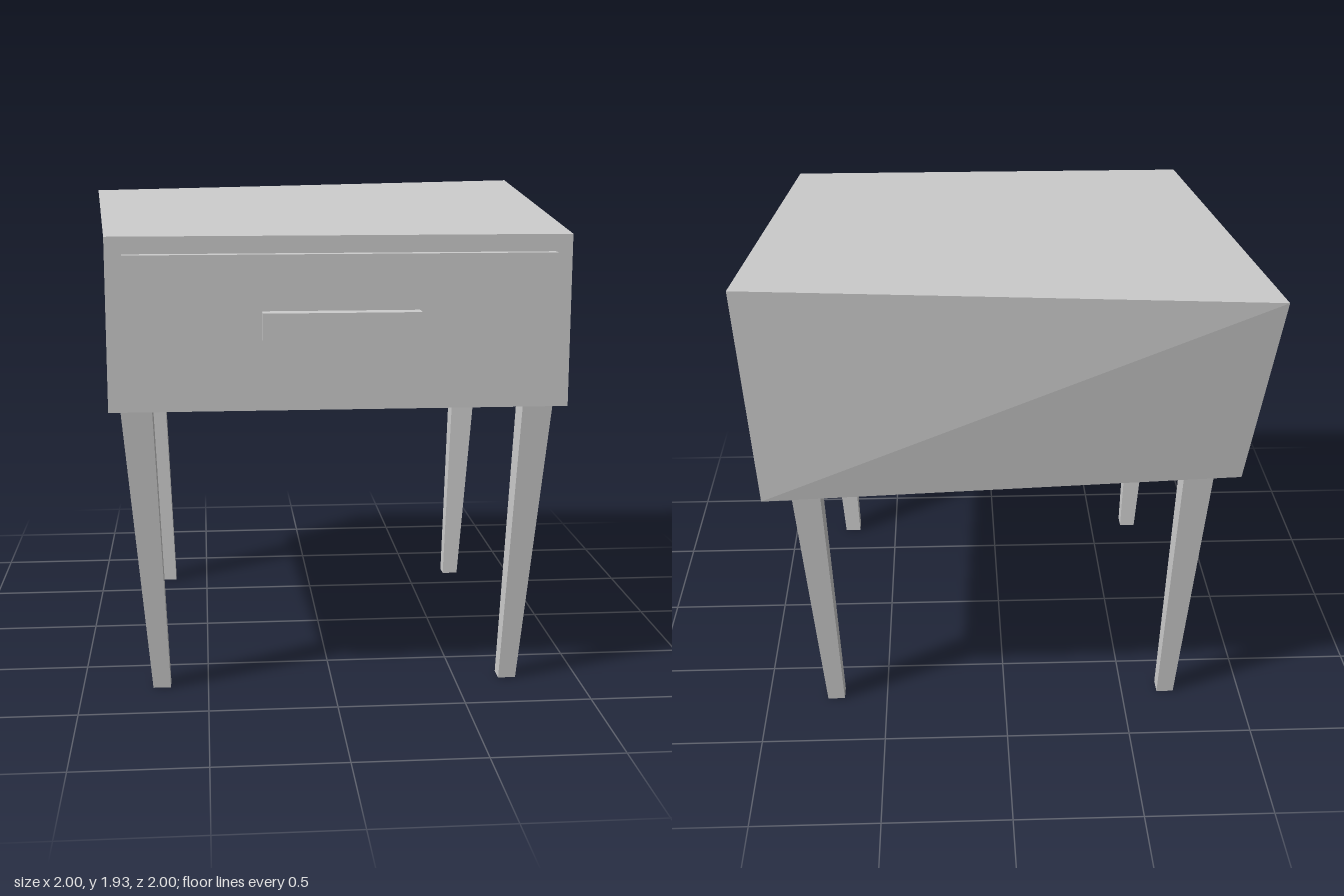
import * as THREE from 'three';

const material = new THREE.MeshStandardMaterial({ color: 0xcccccc, flatShading: true });

// A box whose eight corners are placed by corner(right, top, front), each flag 0 or 1
function skewedBox(name, corner) {
  const box = new THREE.BoxGeometry(1, 1, 1);
  const p = box.attributes.position;
  for (let i = 0; i < p.count; i++) {
    p.setXYZ(i, ...corner(+(p.getX(i) > 0), +(p.getY(i) > 0), +(p.getZ(i) > 0)));
  }
  const geometry = box.toNonIndexed();
  geometry.computeVertexNormals();
  const mesh = new THREE.Mesh(geometry, material);
  mesh.name = name;
  return mesh;
}

// A straight box between two limits on each axis
const block = (name, xs, ys, zs) => skewedBox(name, (r, t, f) => [xs[r], ys[t], zs[f]]);

// A tapered, splayed leg: x and z limits at the foot and at the top
function leg(name, foot, head, topY) {
  return skewedBox(name, (r, t, f) => {
    const end = t ? head : foot;
    return [end.x[r], t ? topY : 0, end.z[f]];
  });
}

export function createModel() {
  const group = new THREE.Group();
  group.name = 'nightstand';

  // Cabinet: rectangular front, larger crooked back indexed [top][right]
  const back = [
    [[-0.9, 1.135, -0.9], [0.94, 1.065, -0.9]],
    [[-1, 1.89, -1], [1, 1.935, -0.925]],
  ];
  group.add(skewedBox('cabinet', (r, t, f) =>
    f ? [[-0.86, 0.895][r], [1.155, 1.815][t], 0.885] : back[t][r]));

  // Drawer front and its handle
  group.add(block('drawerFront', [-0.795, 0.83], [1.22, 1.75], [0.88, 0.933]));
  group.add(block('handle', [-0.28, 0.31], [1.435, 1.54], [0.93, 1]));

  // Four legs, leaning outwards and running a little into the cabinet
  const sides = [
    { name: 'Left', foot: [0.68, 0.75], head: [0.73, 0.847] },
    { name: 'Right', foot: [-0.72, -0.65], head: [-0.818, -0.698] },
  ];
  const rows = [
    { name: 'front', foot: [0.677, 0.748], head: [0.725, 0.845] },
    { name: 'back', foot: [-0.722, -0.652], head: [-0.817, -0.699] },
  ];
  for (const row of rows) {
    for (const side of sides) {
      group.add(leg(row.name + side.name + 'Leg',
        { x: side.foot, z: row.foot }, { x: side.head, z: row.head }, 1.165));
    }
  }
  return group;
}
